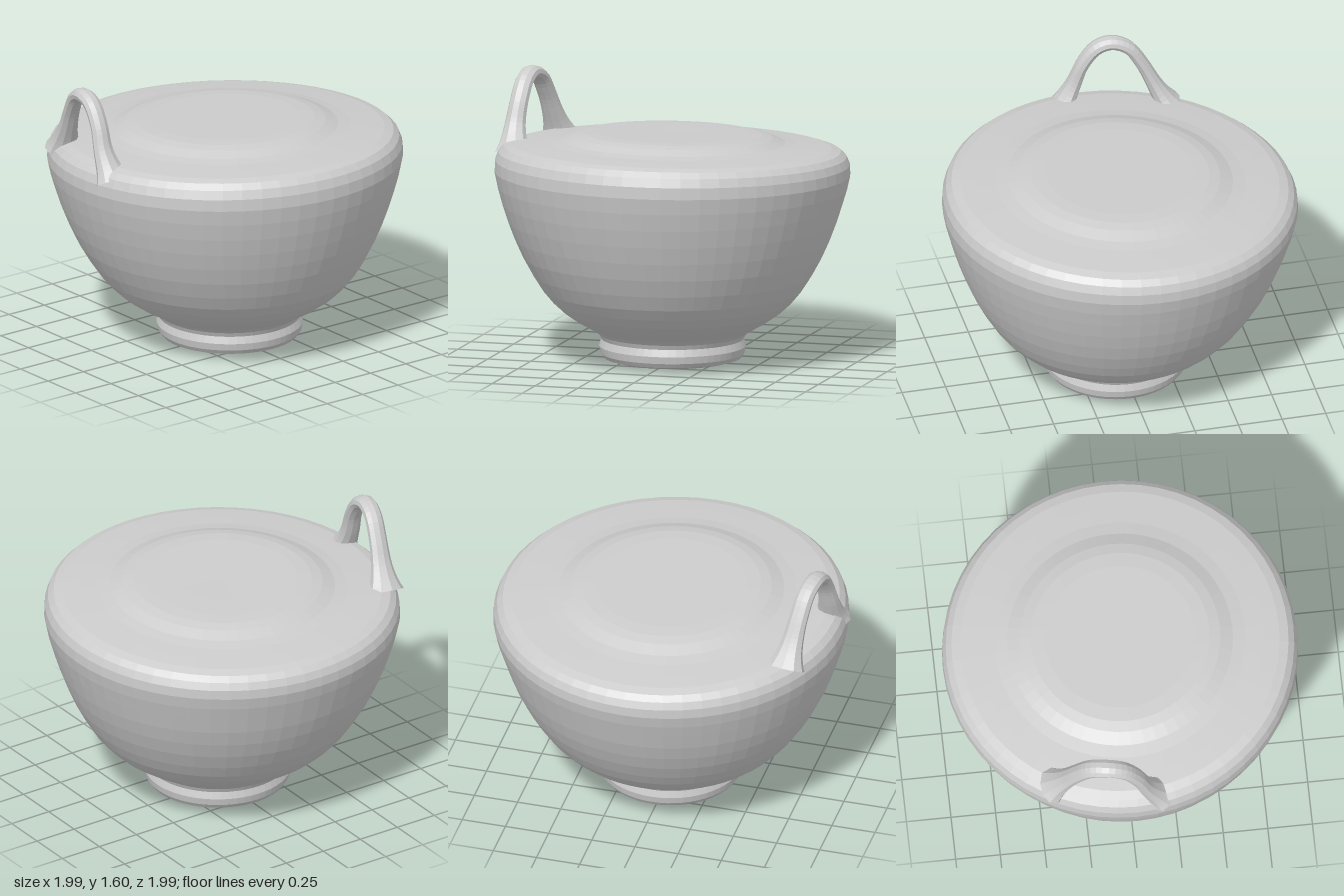
import * as THREE from 'three';

const material = new THREE.MeshStandardMaterial({ color: 0xcccccc, flatShading: true });

// Move every vertex of a geometry by a rule
function deform(geometry, rule) {
  const pos = geometry.attributes.position;
  const v = new THREE.Vector3();
  for (let i = 0; i < pos.count; i++) {
    v.fromBufferAttribute(pos, i);
    rule(v, i);
    pos.setXYZ(i, v.x, v.y, v.z);
  }
  geometry.computeVertexNormals();
  return geometry;
}

function lathe(name, points) {
  const geometry = new THREE.LatheGeometry(points.map(([x, y]) => new THREE.Vector2(x, y)), 56);
  // The foot sits a little off centre, and the rim dips towards the back
  deform(geometry, (v) => {
    const low = 1 - THREE.MathUtils.smoothstep(v.y, 0, 0.9);
    const high = THREE.MathUtils.clamp((v.y - 0.9) / 0.3, 0, 1);
    const { x, z } = v;
    v.x += 0.01 * low;
    v.z += 0.03 * low;
    v.y += high * (0.036 * z - 0.008 * x);
  });
  const mesh = new THREE.Mesh(geometry, material);
  mesh.name = name;
  return mesh;
}

// Arched loop handle with flared ends that melt into the rim
function createHandle() {
  const path = new THREE.CatmullRomCurve3([
    [-0.89, 1.15, 0.13], [-0.9, 1.3, 0.055], [-0.89, 1.44, 0], [-0.88, 1.54, -0.075],
    [-0.87, 1.568, -0.16], [-0.85, 1.535, -0.25], [-0.83, 1.43, -0.325],
    [-0.81, 1.3, -0.39], [-0.79, 1.17, -0.46],
  ].map((p) => new THREE.Vector3(...p)));
  const steps = 36, sides = 10;
  const geometry = new THREE.TubeGeometry(path, steps, 0.038, sides, false);
  deform(geometry, (v, i) => {
    const t = Math.floor(i / (sides + 1)) / steps;
    const centre = path.getPointAt(t);
    const flare = 1 + 1.1 * Math.pow(Math.abs(2 * t - 1), 5);
    v.sub(centre).multiplyScalar(flare);
    v.x *= 1.4;
    v.add(centre);
  });
  const mesh = new THREE.Mesh(geometry, material);
  mesh.name = 'handle';
  return mesh;
}

export function createModel() {
  const group = new THREE.Group();
  group.name = 'bowl';

  group.add(lathe('foot', [
    [0, 0.005], [0.2, 0.01], [0.34, 0.022], [0.385, 0.035], [0.402, 0.06],
    [0.41, 0.1], [0.398, 0.14], [0.41, 0.165], [0.44, 0.19],
  ]));

  group.add(lathe('body', [
    [0.44, 0.19], [0.53, 0.24], [0.61, 0.295], [0.67, 0.35], [0.725, 0.415], [0.78, 0.5],
    [0.835, 0.6], [0.88, 0.7], [0.918, 0.8], [0.95, 0.9], [0.976, 0.99], [0.993, 1.07],
    [0.99, 1.13], [0.972, 1.175], [0.94, 1.205], [0.89, 1.22],
  ]));

  // Closed top with a low raised disc in the middle
  group.add(lathe('top', [
    [0.89, 1.22], [0.8, 1.229], [0.7, 1.238], [0.63, 1.25], [0.56, 1.278],
    [0.5, 1.291], [0.42, 1.296], [0.25, 1.296], [0, 1.295],
  ]));

  group.add(createHandle());
  return group;
}
